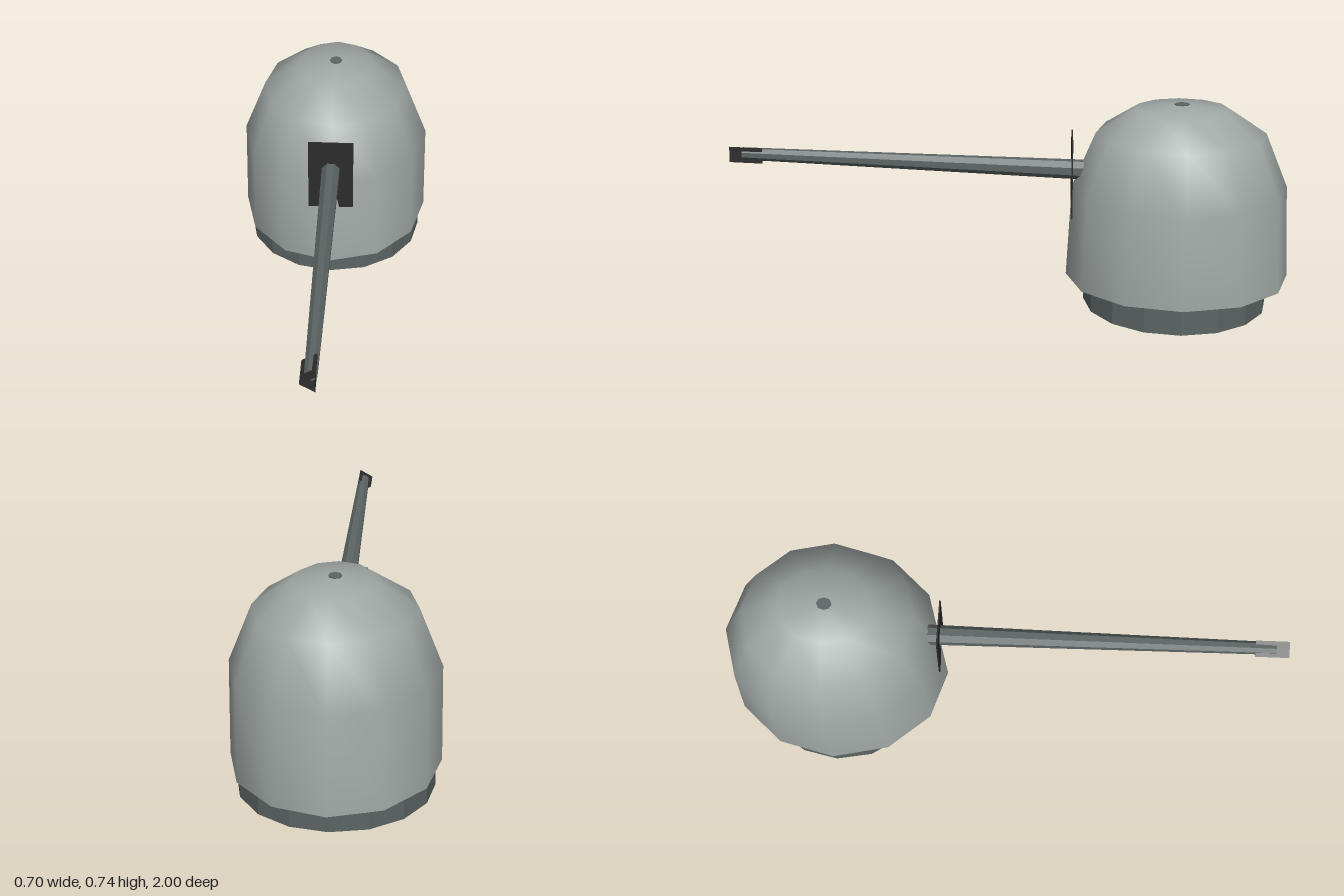
import * as THREE from 'three';
import { mergeVertices } from 'three/addons/utils/BufferGeometryUtils.js';

const CENTRE_Z = -0.6;

// Faceted normals for hard-edged parts
function faceted(geometry) {
  const g = geometry.toNonIndexed();
  g.computeVertexNormals();
  return g;
}

// Tapered faceted tube running between two points in the x = 0 plane
function rod(y0, z0, y1, z1, r0, r1, sides, open, start) {
  const length = Math.hypot(y1 - y0, z1 - z0);
  const g = new THREE.CylinderGeometry(r1, r0, length, sides, 1, open, start);
  g.rotateX(Math.atan2(z1 - z0, y1 - y0));
  g.translate(0, (y0 + y1) / 2, (z0 + z1) / 2);
  return faceted(g);
}

// Smooth shell of twelve-sided oval rings: [y, half width, half depth]
function domeGeometry() {
  const rings = [
    [0.097, 0.35, 0.4], [0.435, 0.346, 0.382], [0.632, 0.268, 0.3],
    [0.721, 0.135, 0.167], [0.738, 0, 0],
  ];
  const g = new THREE.LatheGeometry(rings.map(([y, w]) => new THREE.Vector2(w, y)), 12);
  const p = g.attributes.position;
  for (let i = 0; i < p.count; i++) {
    const [, w, d] = rings[i % rings.length];
    p.setZ(i, (w ? p.getZ(i) * d / w : 0) + CENTRE_Z);
  }
  g.deleteAttribute('normal');
  g.deleteAttribute('uv');
  const merged = mergeVertices(g, 1e-4);
  merged.computeVertexNormals();
  return merged;
}

export function createModel() {
  const model = new THREE.Group();
  const lightGrey = new THREE.MeshStandardMaterial({ color: 0xa0a8a5, side: THREE.DoubleSide });
  lightGrey.name = 'lightGrey';
  const darkGrey = new THREE.MeshStandardMaterial({ color: 0x5c6564 });
  darkGrey.name = 'darkGrey';
  const black = new THREE.MeshStandardMaterial({ color: 0x2c2c2c, side: THREE.DoubleSide });
  black.name = 'black';

  function add(name, geometry, material) {
    const mesh = new THREE.Mesh(geometry, material);
    mesh.name = name;
    model.add(mesh);
  }

  // Pedestal and open-bottomed dome
  const base = new THREE.CylinderGeometry(0.33, 0.33, 0.12, 16);
  base.translate(0, 0.06, CENTRE_Z + 0.005);
  add('pedestal', faceted(base), darkGrey);
  add('dome', domeGeometry(), lightGrey);

  // Small cap at the peak of the dome
  const cap = new THREE.CylinderGeometry(0.022, 0.022, 0.006, 8);
  cap.scale(1, 1, 1.2);
  cap.translate(0, 0.7355, CENTRE_Z);
  add('roofCap', faceted(cap), darkGrey);

  // Thin gun port plate, notched where the dome wall bulges through
  const outline = new THREE.Shape([
    [-0.082, 0.337], [-0.031, 0.337], [-0.012, 0.437], [0, 0.445], [0.012, 0.437],
    [0.031, 0.337], [0.082, 0.337], [0.082, 0.617], [-0.082, 0.617],
  ].map(([x, y]) => new THREE.Vector2(x, y)));
  const plate = new THREE.ExtrudeGeometry(outline, { depth: 0.005, bevelEnabled: false });
  plate.translate(0, 0, -0.22);
  add('portPlate', plate, black);

  // Long tapered barrel, raised slightly, with an open three-sided muzzle
  add('barrel', rod(0.492, -0.3, 0.545, 0.955, 0.036, 0.022, 8, false, Math.PI / 8), darkGrey);
  add('muzzle', rod(0.541, 0.882, 0.546, 0.999, 0.033, 0.033, 3, true, -Math.PI / 2), black);

  return model;
}
